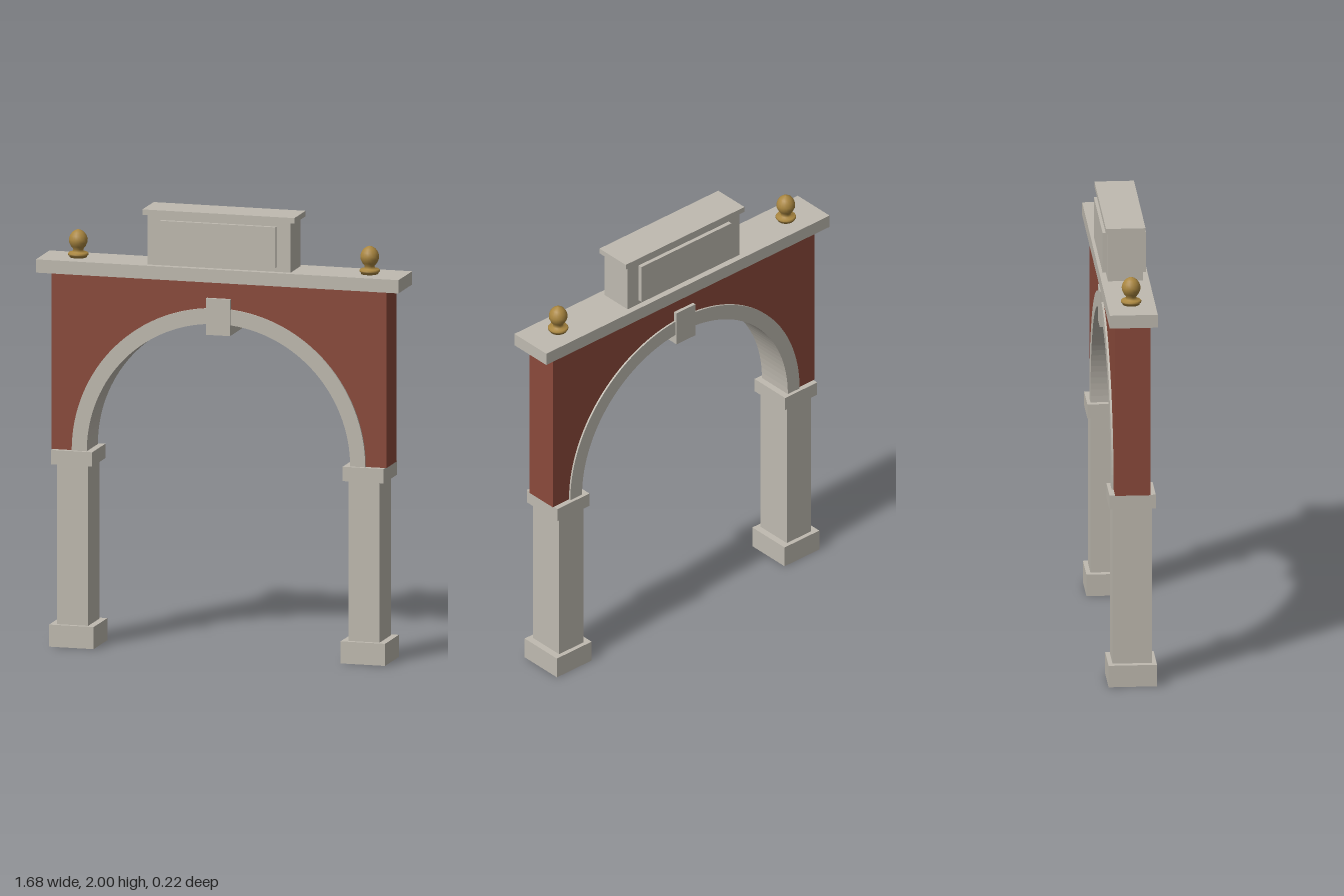
import * as THREE from 'three';

export function createModel() {
  const model = new THREE.Group();
  const mat = (name, color) => {
    const m = new THREE.MeshStandardMaterial({ color });
    m.name = name;
    return m;
  };
  const stone = mat('stone', 0xbfbab0);
  const brick = mat('brick', 0x8b4a3b);
  const gold = mat('gold', 0xa98640);

  const add = (name, geometry, material) => {
    const mesh = new THREE.Mesh(geometry, material);
    mesh.name = name;
    model.add(mesh);
    return mesh;
  };
  // Box centred on z = 0, spanning y0 to y1
  const block = (name, x, y0, y1, width, depth) =>
    add(name, new THREE.BoxGeometry(width, y1 - y0, depth), stone).position.set(x, (y0 + y1) / 2, 0);
  // Outline extruded symmetrically about z = 0
  const slab = (name, shape, depth, material) => {
    const g = new THREE.ExtrudeGeometry(shape, { depth, bevelEnabled: false, curveSegments: 32 });
    g.translate(0, 0, -depth / 2);
    add(name, g, material);
  };

  const spring = 0.89, inner = 0.61, outer = 0.68;

  // Brick spandrel wall, seated inside the stone ring
  const wall = new THREE.Shape();
  const seat = inner + 0.02;
  wall.moveTo(seat, spring);
  wall.lineTo(0.776, spring);
  wall.lineTo(0.776, 1.69);
  wall.lineTo(-0.776, 1.69);
  wall.lineTo(-0.776, spring);
  wall.lineTo(-seat, spring);
  wall.absarc(0, spring, seat, Math.PI, 0, true);
  slab('brickWall', wall, 0.156, brick);

  // Stone arch ring and keystone
  const ring = new THREE.Shape();
  ring.moveTo(outer, spring);
  ring.absarc(0, spring, outer, 0, Math.PI, false);
  ring.lineTo(-inner, spring);
  ring.absarc(0, spring, inner, Math.PI, 0, true);
  slab('archRing', ring, 0.174, stone);
  block('keystone', 0, 1.45, 1.615, 0.112, 0.188);

  // Cornice and raised centre block
  block('cornice', 0, 1.69, 1.75, 1.68, 0.214);
  block('atticBlock', 0, 1.75, 1.975, 0.664, 0.156);
  block('atticPanel', 0, 1.77, 1.955, 0.534, 0.194);
  block('atticCap', 0, 1.975, 2, 0.704, 0.176);

  // Finial profile: footed disc, neck, pointed egg
  const profile = [
    [0, 1.75], [0.038, 1.75], [0.038, 1.757], [0.045, 1.76], [0.046, 1.766], [0.042, 1.772],
    [0.024, 1.774], [0.022, 1.786], [0.033, 1.8], [0.041, 1.817], [0.042, 1.832],
    [0.037, 1.849], [0.027, 1.863], [0.014, 1.872], [0, 1.877],
  ].map(([r, y]) => new THREE.Vector2(r, y));

  // Piers and finials, mirrored left and right
  for (const [side, s] of [['left', 1], ['right', -1]]) {
    const x = s * 0.675;
    block(side + 'PierBase', x, 0, 0.1, 0.206, 0.216);
    block(side + 'PierShaft', x, 0.1, 0.825, 0.144, 0.176);
    block(side + 'PierCapital', x, 0.825, spring, 0.19, 0.206);
    add(side + 'Finial', new THREE.LatheGeometry(profile, 20), gold).position.x = x;
  }
  return model;
}
